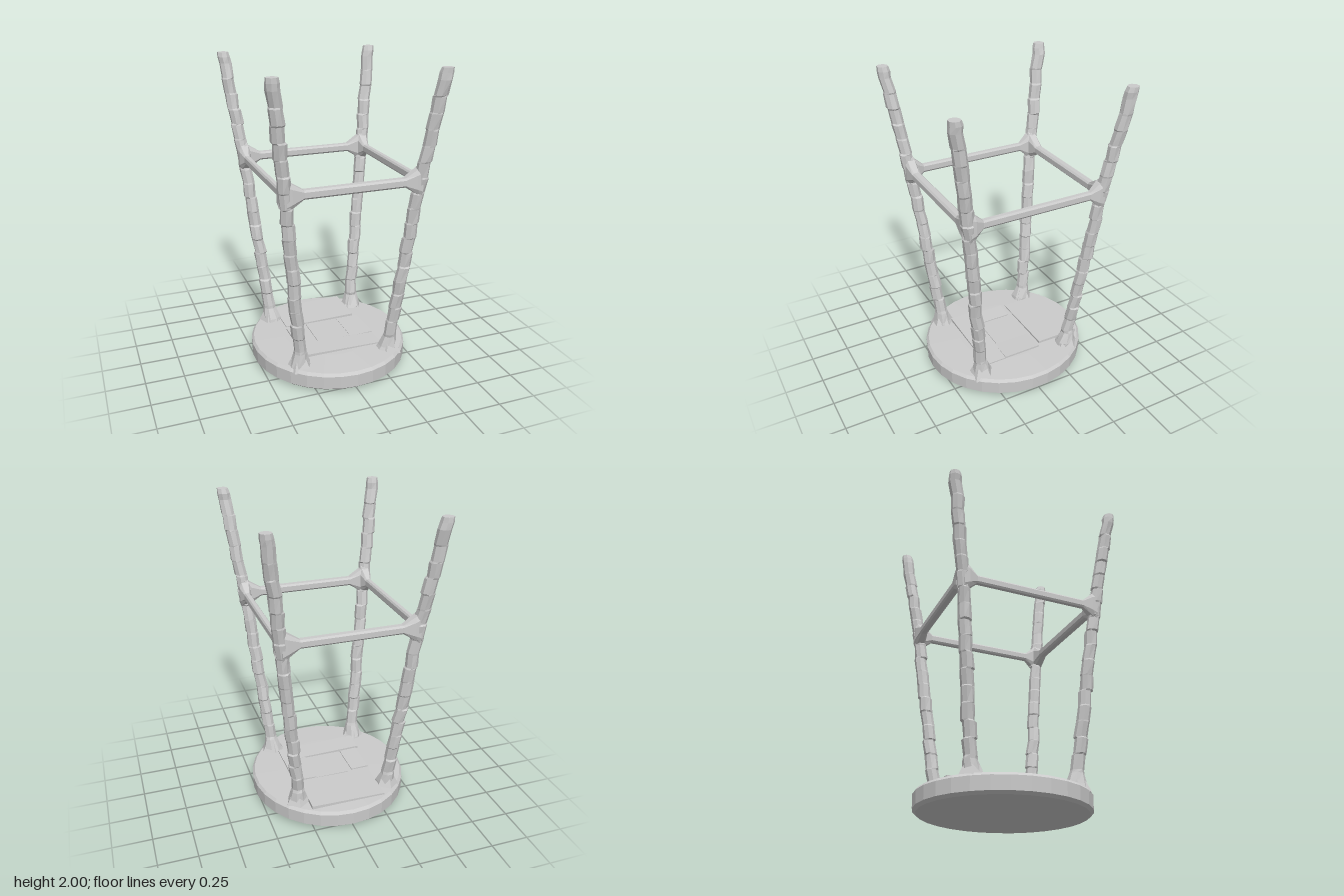
import * as THREE from 'three';

const material = new THREE.MeshStandardMaterial({ color: 0xcccccc, flatShading: true });
const V = (x, y, z) => new THREE.Vector3(x, y, z);

// Repeatable jitter in -1..1
function seeded(seed) {
  let s = seed;
  return () => {
    s = (s * 16807) % 2147483647;
    return (s / 2147483647) * 2 - 1;
  };
}

// Closed, capped skin over rings that share one point count
function loft(rings) {
  const n = rings[0].length, last = (rings.length - 1) * n, index = [];
  for (let i = 0; i < rings.length - 1; i++) {
    for (let j = 0; j < n; j++) {
      const a = i * n + j, b = i * n + (j + 1) % n;
      index.push(a, a + n, b, b, a + n, b + n);
    }
  }
  for (let j = 1; j < n - 1; j++) {
    index.push(0, j, j + 1, last, last + j + 1, last + j);
  }
  const g = new THREE.BufferGeometry().setFromPoints(rings.flat());
  g.setIndex(index);
  const flat = g.toNonIndexed();
  flat.computeVertexNormals();
  return flat;
}

function add(group, name, geometry) {
  const mesh = new THREE.Mesh(geometry, material);
  mesh.name = name;
  group.add(mesh);
  return mesh;
}

// Leg centre line: splays a little more above the rails
function legCentre(sx, sz, y) {
  const L = THREE.MathUtils.lerp;
  const low = y < 1.32, t = low ? (y - 0.1) / 1.22 : (y - 1.32) / 0.68;
  const x = low ? L(0.3, 0.43, t) : L(0.43, 0.517, t);
  const z = low ? L(0.325, 0.455, t) : L(0.455, 0.555, t);
  return V(sx * x, y, sz * z);
}

// Rough-hewn leg: short faceted lengths with a small step between them
function legGeometry(sx, sz, seed) {
  const rnd = seeded(seed), rings = [], sides = 8;
  const ring = (y, r, rough) => {
    const c = legCentre(sx, sz, y), dx = rnd() * rough, dz = rnd() * rough;
    rings.push(Array.from({ length: sides }, (_, j) => {
      const a = ((j + 0.5) / sides) * Math.PI * 2, k = r + rnd() * rough * 0.6;
      return V(c.x + dx + Math.cos(a) * k, y, c.z + dz + Math.sin(a) * k);
    }));
  };
  ring(0.1, 0.075, 0.012);
  ring(0.15, 0.062, 0.01);
  ring(0.22, 0.044, 0.004);
  for (let i = 0; i < 17; i++) {
    const y = 0.24 + i * 0.1;
    ring(y, 0.041, 0.005);
    ring(y + 0.09, 0.041, 0.005);
  }
  ring(1.97, 0.041, 0.002);
  ring(2, 0.036, 0);
  return loft(rings);
}

// Rail from leg to leg, flaring into a gusset at each end
function railGeometry(a, b, width, height, reach) {
  const d = b.clone().sub(a), length = d.length();
  d.normalize();
  const up = V(0, 1, 0), u = d.clone().cross(up);
  const sections = [
    [0, 0.038, 0.1], [0.035, 0.038, 0.075], [reach, width, height],
    [length - reach, width, height], [length - 0.035, 0.038, 0.075], [length, 0.038, 0.1],
  ];
  return loft(sections.map(([t, w, h]) =>
    [[1, 0.6], [0.6, 1], [-0.6, 1], [-1, 0.6], [-1, -0.6], [-0.6, -1], [0.6, -1], [1, -0.6]].map(([p, q]) =>
      a.clone().addScaledVector(d, t).addScaledVector(u, p * w).addScaledVector(up, q * h))));
}

export function createModel() {
  const model = new THREE.Group();
  model.name = 'upturnedStool';

  // Round seat lying face down
  const profile = [[0, 0], [0.5, 0.008], [0.52, 0.025], [0.522, 0.11], [0.507, 0.128], [0.3, 0.134], [0, 0.134]]
    .map(([x, y]) => new THREE.Vector2(x, y));
  add(model, 'seat', new THREE.LatheGeometry(profile, 30)).scale.z = 1.05;

  // Shallow chipped slabs on the underside: x, z, width, depth, top, tilt
  const slabs = [
    [0, -0.3, 0.5, 0.3, 0.145, 0.02],
    [-0.2, 0, 0.12, 0.24, 0.142, -0.03],
    [0.2, 0, 0.16, 0.26, 0.144, 0.03],
    [0, 0.2, 0.56, 0.15, 0.146, -0.02],
    [0.01, -0.01, 0.24, 0.25, 0.139, 0],
  ];
  for (const [x, z, w, d, top, tilt] of slabs) {
    const slab = add(model, 'undersideSlab', new THREE.BoxGeometry(w, 0.03, d));
    slab.position.set(x, top - 0.015, z);
    slab.rotation.z = tilt;
  }

  // Four splayed legs, each with a broad wedge where it meets the seat
  let seed = 101;
  for (const sx of [-1, 1]) {
    for (const sz of [-1, 1]) {
      const name = (sz > 0 ? 'front' : 'back') + (sx > 0 ? 'Left' : 'Right');
      add(model, name + 'Leg', legGeometry(sx, sz, seed += 977));
      const foot = add(model, name + 'LegWedge', new THREE.CylinderGeometry(0.04, 0.09, 0.1, 5));
      foot.position.set(sx * 0.312, 0.155, sz * 0.33);
      foot.rotation.y = sx * sz * 0.7;
    }
  }

  // Square of rails bracing the legs
  const y = 1.313, j = (sx, sz) => legCentre(sx, sz, y);
  add(model, 'frontRail', railGeometry(j(-1, 1), j(1, 1), 0.028, 0.028, 0.11));
  add(model, 'backRail', railGeometry(j(1, -1), j(-1, -1), 0.026, 0.027, 0.11));
  add(model, 'leftRail', railGeometry(j(1, 1), j(1, -1), 0.02, 0.027, 0.09));
  add(model, 'rightRail', railGeometry(j(-1, -1), j(-1, 1), 0.019, 0.027, 0.09));
  return model;
}
